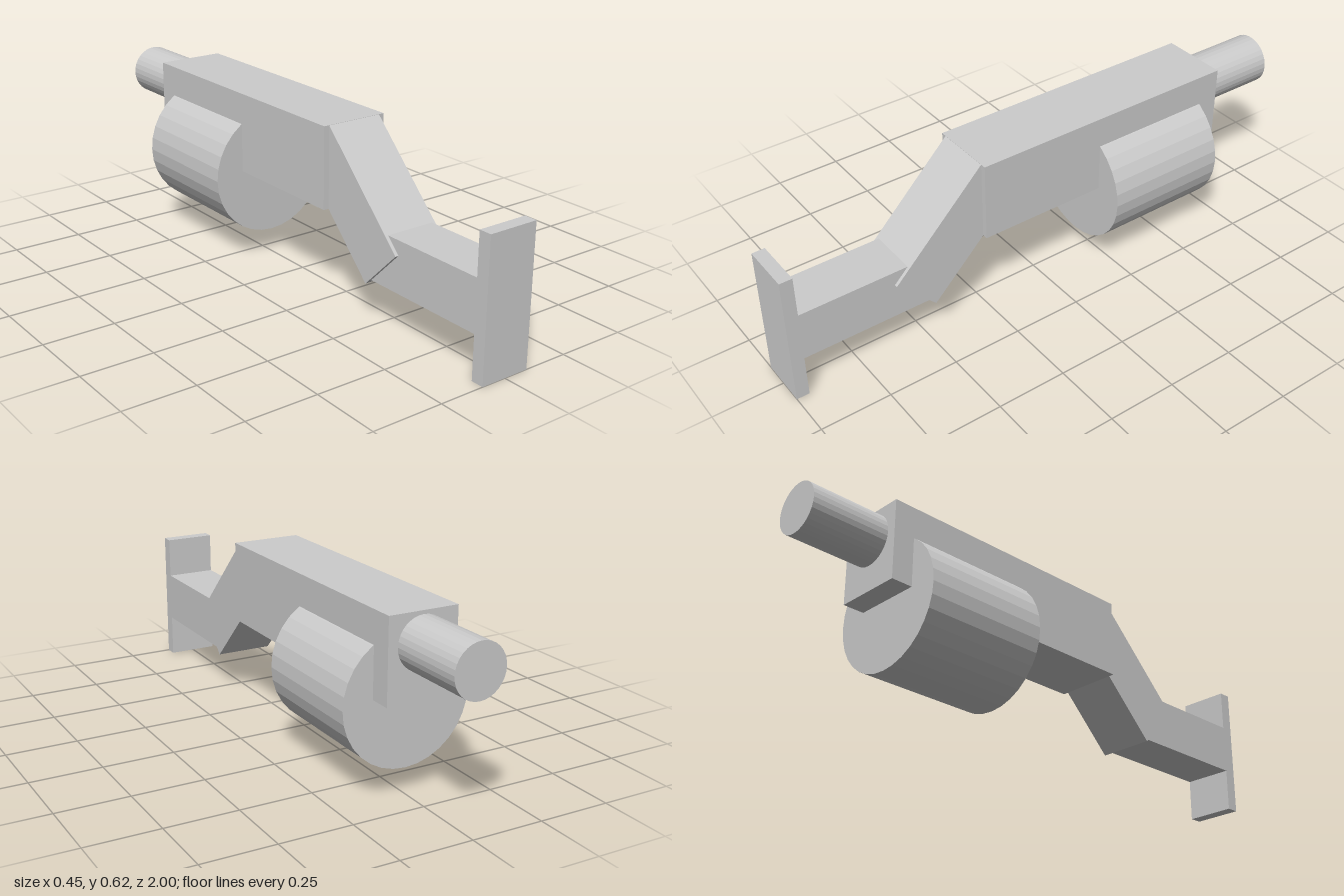
import * as THREE from 'three';

export function createModel() {
  const model = new THREE.Group();
  const material = new THREE.MeshStandardMaterial({ color: 0xcccccc, flatShading: true });

  const add = (name, geometry, y, z, tilt = 0) => {
    const mesh = new THREE.Mesh(geometry, material);
    mesh.name = name;
    mesh.position.set(0, y, z);
    mesh.rotation.x = tilt;
    model.add(mesh);
    return mesh;
  };

  // Box given by its width and its y and z ranges
  const block = (name, width, y0, y1, z0, z1) =>
    add(name, new THREE.BoxGeometry(width, y1 - y0, z1 - z0), (y0 + y1) / 2, (z0 + z1) / 2);

  // Cylinder lying along z
  const rod = (name, radius, y, z0, z1) =>
    add(name, new THREE.CylinderGeometry(radius, radius, z1 - z0, 32).rotateX(Math.PI / 2), y, (z0 + z1) / 2);

  // Main housing with the drum hung through it and the barrel at the back
  block('body', 0.244, 0.333, 0.616, -0.72, 0.28);
  rod('drum', 0.227, 0.315, -0.643, -0.19);
  rod('barrel', 0.089, 0.515, -1, -0.72);

  // Slanted grip, sloping down 45 degrees towards the front
  add('slantedGrip', new THREE.BoxGeometry(0.204, 0.2, 0.474), 0.377, 0.377, Math.PI / 4);

  // Stock arm and end plate
  block('stockArm', 0.18, 0.153, 0.331, 0.485, 0.955);
  block('stockPlate', 0.18, 0, 0.478, 0.955, 1);

  return model;
}
